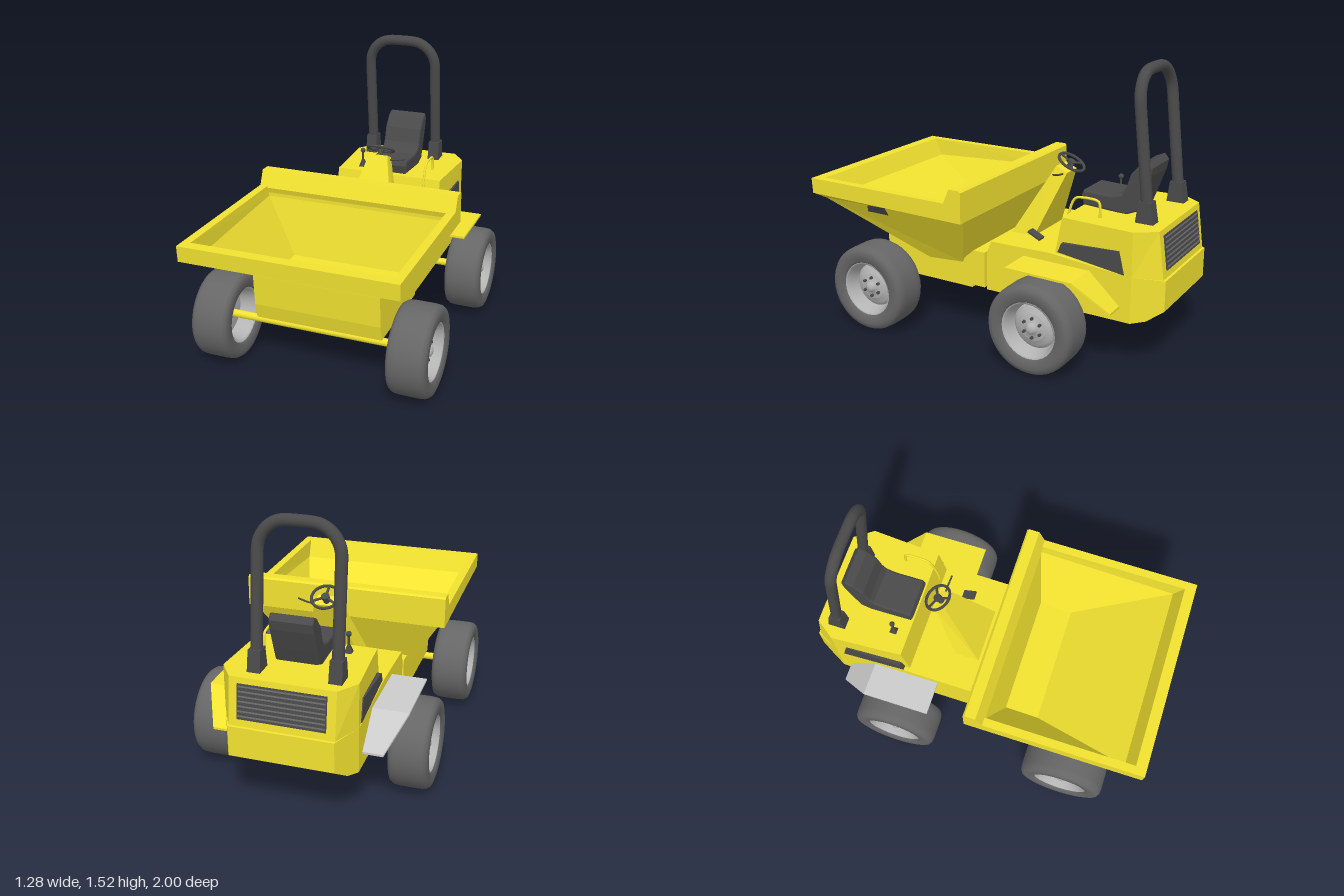
import * as THREE from 'three';

const mat = (color) => new THREE.MeshStandardMaterial({ color, side: THREE.DoubleSide });
const yellow = mat(0xf2e230), dark = mat(0x4a4a4a), rubber = mat(0x666666), steel = mat(0xb4b4b4), grey = mat(0xcccccc);

// Skins a list of four-cornered rings and closes both ends, flat shaded
function loft(rings) {
  const pos = [];
  const tri = (...p) => p.forEach((v) => pos.push(...v));
  for (let i = 0; i < rings.length - 1; i++) {
    for (let j = 0; j < 4; j++) {
      const k = (j + 1) % 4;
      const a = rings[i][j], b = rings[i][k], c = rings[i + 1][k], d = rings[i + 1][j];
      tri(a, c, b, a, d, c);
    }
  }
  const [s, e] = [rings[0], rings[rings.length - 1]];
  tri(s[0], s[1], s[2], s[0], s[2], s[3]);
  tri(e[0], e[2], e[1], e[0], e[3], e[2]);
  const g = new THREE.BufferGeometry();
  g.setAttribute('position', new THREE.Float32BufferAttribute(pos, 3));
  g.computeVertexNormals();
  return g;
}

// Upright ring across the machine (bottom z/y, top z/y) and level ring (rear z/y, front z/y)
const upright = (x0, x1, zb, yb, zt, yt) => [[x0, yb, zb], [x1, yb, zb], [x1, yt, zt], [x0, yt, zt]];
const level = (w, zr, yr, zf, yf) => [[-w, yr, zr], [w, yr, zr], [w, yf, zf], [-w, yf, zf]];

// Side profile of [z, y] points, extruded to a width centred on x
function sideExtrude(points, width, bevel = 0) {
  const shape = new THREE.Shape(points.map(([z, y]) => new THREE.Vector2(z, y)));
  const g = new THREE.ExtrudeGeometry(shape, {
    depth: width - 2 * bevel, bevelEnabled: bevel > 0, bevelSize: bevel, bevelThickness: bevel, bevelOffset: -bevel, bevelSegments: 3,
  });
  return g.rotateY(-Math.PI / 2).translate(width / 2 - bevel, 0, 0);
}

function add(parent, name, geometry, material, x = 0, y = 0, z = 0) {
  const m = new THREE.Mesh(geometry, material);
  m.name = name;
  m.position.set(x, y, z);
  parent.add(m);
  return m;
}

function tube(points, r, tension = 0.5) {
  const curve = new THREE.CatmullRomCurve3(points.map((p) => new THREE.Vector3(...p)), false, 'catmullrom', tension);
  return new THREE.TubeGeometry(curve, 48, r, 10);
}

const lathe = (pts, seg) => new THREE.LatheGeometry(pts.map(([r, y]) => new THREE.Vector2(r, y)), seg);

function makeWheel(side) {
  const wheel = new THREE.Group();
  wheel.name = 'wheel';
  add(wheel, 'tyre', lathe([[0.15, -0.085], [0.16, -0.1], [0.2, -0.105], [0.225, -0.098], [0.237, -0.08], [0.24, -0.05],
    [0.24, 0.05], [0.237, 0.08], [0.225, 0.098], [0.2, 0.105], [0.16, 0.1], [0.15, 0.085]], 40), rubber);
  add(wheel, 'rim', lathe([[0.152, -0.09], [0.14, -0.085], [0.125, -0.01], [0.12, 0.01], [0.135, 0.06], [0.143, 0.088], [0.152, 0.09]], 32), steel);
  add(wheel, 'wheelDisc', lathe([[0, 0], [0.122, 0], [0.122, 0.012], [0.1, 0.03], [0.072, 0.036], [0.07, 0.045], [0.03, 0.045], [0.028, 0.066], [0.015, 0.075], [0, 0.076]], 32), steel);
  for (let i = 0; i < 6; i++) {
    const a = (i * Math.PI) / 3;
    add(wheel, 'wheelNut', new THREE.CylinderGeometry(0.008, 0.008, 0.02, 6), dark, Math.cos(a) * 0.052, 0.05, Math.sin(a) * 0.052);
  }
  wheel.rotation.z = -side * Math.PI / 2;
  return wheel;
}

export function createModel() {
  const model = new THREE.Group();
  model.name = 'siteDumper';

  // Wheels and axles
  for (const z of [0.59, -0.43]) {
    add(model, 'axle', new THREE.CylinderGeometry(0.021, 0.021, 1.02, 16).rotateZ(Math.PI / 2), yellow, 0, 0.242, z);
    for (const s of [1, -1]) {
      const wheel = makeWheel(s);
      wheel.position.set(s * 0.535, 0.242, z);
      model.add(wheel);
    }
  }

  // Skip: outside from the floor up, over the rim, then down the inside
  add(model, 'skip', loft([
    level(0.35, 0.14, 0.4, 0.36, 0.385),
    level(0.53, 0.01, 0.7, 0.93, 0.685),
    level(0.57, 0, 0.705, 0.995, 0.715),
    level(0.57, 0, 0.8, 1, 0.8),
    level(0.525, 0.1, 0.8, 0.94, 0.8),
    level(0.52, 0.1, 0.74, 0.89, 0.7),
    level(0.34, 0.17, 0.43, 0.36, 0.42),
  ]), yellow);
  add(model, 'skipRearLip', sideExtrude([[0, 0.78], [0, 0.87], [0.01, 0.88], [0.07, 0.88], [0.11, 0.79], [0.1, 0.76]], 1.14), yellow);
  for (const s of [1, -1]) {
    const plate = add(model, 'skipSidePlate', new THREE.BoxGeometry(0.014, 0.065, 0.17), dark, s * 0.513, 0.675, 0.605);
    plate.rotation.z = -s * 0.54;
  }

  // Front chassis and articulation joint
  add(model, 'frontChassis', sideExtrude([[0.65, 0.52], [0.64, 0.35], [0.62, 0.265], [0.08, 0.265], [0.08, 0.28], [0, 0.28],
    [0, 0.48], [0.07, 0.48], [0.16, 0.4], [0.36, 0.39]], 0.7), yellow);
  add(model, 'pivot', new THREE.BoxGeometry(0.25, 0.17, 0.08), yellow, 0, 0.38, -0.01);

  // Rear body
  const body = [[-0.012, 0.345, 0.27, 0.48], [-0.04, 0.345, 0.27, 0.55], [-0.4, 0.345, 0.27, 0.555], [-0.85, 0.345, 0.27, 0.515],
    [-0.92, 0.31, 0.285, 0.51], [-1, 0.27, 0.34, 0.502]];
  add(model, 'rearBody', loft(body.map(([z, w, b, t]) => upright(-w, w, z, b, z, t))), yellow);

  // Engine hood with side vents and rear grille
  add(model, 'engineHood', loft([
    upright(-0.32, 0.32, -0.41, 0.54, -0.45, 0.75),
    upright(-0.345, 0.345, -0.85, 0.51, -0.85, 0.75),
    upright(-0.27, 0.27, -0.988, 0.5, -0.955, 0.75),
  ]), yellow);
  add(model, 'sideVent', sideExtrude([[-0.44, 0.57], [-0.46, 0.62], [-0.78, 0.64], [-0.81, 0.52]], 0.694), dark);
  const grille = new THREE.Group();
  grille.name = 'rearGrille';
  grille.position.set(0, 0.63, -0.972);
  grille.rotation.x = 0.13;
  add(grille, 'grillePanel', new THREE.BoxGeometry(0.45, 0.18, 0.01), dark);
  for (let i = 0; i < 7; i++) {
    add(grille, 'grilleSlat', new THREE.BoxGeometry(0.44, 0.008, 0.016), rubber, 0, -0.075 + i * 0.025, 0).rotation.x = 0.4;
  }
  model.add(grille);

  // Rear mudguards, one unpainted
  for (const s of [1, -1]) {
    const rings = [[-0.24, 0.535, 0.51], [-0.62, 0.535, 0.505], [-0.79, 0.45, 0.35]].map(([z, x, y]) =>
      upright(s > 0 ? 0.34 : -x, s > 0 ? x : -0.34, z, y - 0.012, z, y));
    add(model, 'mudguard', loft(rings), s > 0 ? yellow : grey);
  }

  // Steering console and steering wheel
  add(model, 'console', loft([level(0.16, -0.19, 0.54, -0.05, 0.54), level(0.055, -0.335, 0.9, -0.27, 0.93)]), yellow);
  const steering = new THREE.Group();
  steering.name = 'steeringWheel';
  steering.position.set(-0.005, 0.945, -0.33);
  steering.rotation.x = -0.52;
  add(steering, 'steeringRim', new THREE.TorusGeometry(0.075, 0.008, 8, 32).rotateX(Math.PI / 2), dark);
  add(steering, 'steeringHub', new THREE.CylinderGeometry(0.022, 0.022, 0.02, 16), dark);
  add(steering, 'steeringColumn', new THREE.CylinderGeometry(0.014, 0.018, 0.06, 12), dark, 0, -0.03, 0);
  for (let i = 0; i < 3; i++) {
    const a = Math.PI / 2 + (i * Math.PI * 2) / 3;
    add(steering, 'steeringSpoke', new THREE.BoxGeometry(0.07, 0.007, 0.012), dark, Math.cos(a) * 0.038, 0, Math.sin(a) * 0.038).rotation.y = -a;
  }
  model.add(steering);
  add(model, 'directionLever', tube([[0.04, 0.89, -0.31], [0.1, 0.897, -0.31], [0.155, 0.91, -0.305]], 0.005), dark);

  // Seat
  const seat = [[-0.46, 0.84], [-0.447, 0.81], [-0.46, 0.76], [-0.7, 0.745], [-0.76, 0.77], [-0.79, 0.85], [-0.83, 0.96], [-0.84, 1.01],
    [-0.815, 1.04], [-0.77, 1.02], [-0.72, 0.96], [-0.695, 0.88], [-0.675, 0.85], [-0.62, 0.835]];
  add(model, 'seat', sideExtrude(seat, 0.225, 0.012), dark, -0.003, 0, 0);

  // Roll bar: a hoop leaning forward, with tapered feet
  const hoop = [], cx = -0.035, half = 0.205, r = 0.15, top = 1.49;
  const hoopPoint = (x, y) => hoop.push([cx + x, y, -0.85 + (y - 0.78) * 0.11]);
  for (const y of [0.78, 0.95, 1.15, 1.3]) hoopPoint(-half, y);
  for (let i = 0; i <= 12; i++) {
    const a = Math.PI - (i * Math.PI) / 12;
    const shift = Math.sign(Math.round(Math.cos(a) * 100)) * (half - r);
    hoopPoint(shift + Math.cos(a) * r, top - r + Math.sin(a) * r);
  }
  for (const y of [1.3, 1.15, 0.95, 0.78]) hoopPoint(half, y);
  add(model, 'rollBar', new THREE.TubeGeometry(new THREE.CatmullRomCurve3(hoop.map((p) => new THREE.Vector3(...p))), 80, 0.03, 14), dark);
  for (const s of [1, -1]) {
    add(model, 'rollBarFoot', loft([level(0.034, -0.895, 0.74, -0.795, 0.74), level(0.032, -0.875, 0.86, -0.81, 0.86)]), dark, cx + s * half, 0, 0);
  }

  // Grab rail, control lever and pedal
  add(model, 'grabRail', tube([[0.225, 0.58, -0.43], [0.225, 0.65, -0.42], [0.225, 0.75, -0.44], [0.225, 0.825, -0.47],
    [0.225, 0.84, -0.52], [0.225, 0.835, -0.6], [0.225, 0.8, -0.615], [0.225, 0.74, -0.615]], 0.007), yellow);
  add(model, 'leverGaiter', new THREE.CylinderGeometry(0.01, 0.028, 0.04, 4).rotateY(Math.PI / 4), dark, -0.195, 0.77, -0.535);
  add(model, 'controlLever', new THREE.CylinderGeometry(0.006, 0.006, 0.08, 8), dark, -0.195, 0.81, -0.535);
  add(model, 'leverKnob', new THREE.SphereGeometry(0.015, 12, 8), dark, -0.195, 0.85, -0.535);
  add(model, 'pedal', new THREE.BoxGeometry(0.05, 0.012, 0.08), dark, 0.2, 0.58, -0.23).rotation.x = -0.45;
  return model;
}
